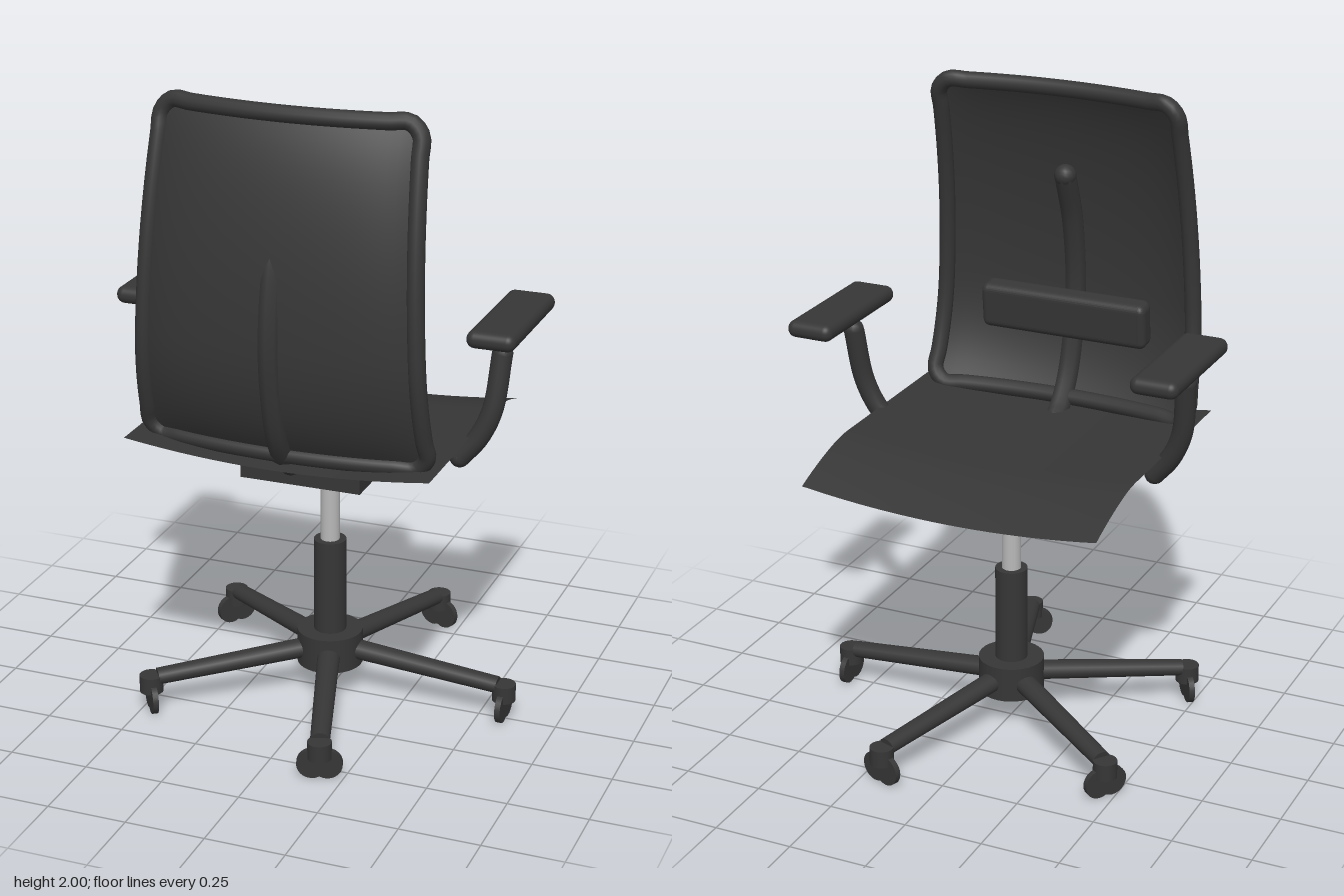
import * as THREE from 'three';
import { RoundedBoxGeometry } from 'three/addons/geometries/RoundedBoxGeometry.js';

const dark = new THREE.MeshStandardMaterial({ color: 0x363636 });
dark.name = 'charcoal';
const sheet = new THREE.MeshStandardMaterial({ color: 0x363636, side: THREE.DoubleSide });
sheet.name = 'charcoalSheet';
const chrome = new THREE.MeshStandardMaterial({ color: 0xb8b8b8 });
chrome.name = 'chrome';

const V = (x, y, z) => new THREE.Vector3(x, y, z);

function add(parent, name, geometry, material = dark, x = 0, y = 0, z = 0) {
  const mesh = new THREE.Mesh(geometry, material);
  mesh.name = name;
  mesh.position.set(x, y, z);
  parent.add(mesh);
  return mesh;
}

// Upright cylinder between two heights
function post(parent, name, r, y0, y1, material = dark, x = 0, z = 0) {
  return add(parent, name, new THREE.CylinderGeometry(r, r, y1 - y0, 32), material, x, (y0 + y1) / 2, z);
}

// Tube through points with rounded ends
function roundedTube(parent, name, points, r, sides = 16) {
  const group = new THREE.Group();
  group.name = name;
  add(group, name + 'Body', new THREE.TubeGeometry(new THREE.CatmullRomCurve3(points), 32, r, sides));
  for (const p of [points[0], points[points.length - 1]]) {
    add(group, name + 'End', new THREE.SphereGeometry(r, 16, 10), dark, p.x, p.y, p.z);
  }
  parent.add(group);
  return group;
}

// Backrest surface rules: half width, side profile and sideways bow
const BOTTOM = 0.958, TOP = 1.975;
const halfWidth = (y) => THREE.MathUtils.mapLinear(y, BOTTOM, TOP, 0.44, 0.393);
const sideZ = (y) => 0.42 - (y > 1.3 ? 0.245 : 0.65) * (y - 1.3) ** 2;
const backPoint = (u, y) => V(u * halfWidth(y), y, sideZ(y) + 0.05 * (1 - u * u));

function buildBackrest(parent) {
  // Frame: closed loop around the back
  const pts = [];
  for (let i = 0; i <= 12; i++) pts.push(backPoint(-0.92 + (1.84 * i) / 12, BOTTOM));
  for (let i = 0; i <= 16; i++) pts.push(backPoint(1, BOTTOM + 0.035 + ((TOP - BOTTOM - 0.07) * i) / 16));
  for (let i = 0; i <= 12; i++) pts.push(backPoint(0.92 - (1.84 * i) / 12, TOP));
  for (let i = 16; i >= 0; i--) pts.push(backPoint(-1, BOTTOM + 0.035 + ((TOP - BOTTOM - 0.07) * i) / 16));
  const loop = new THREE.CatmullRomCurve3(pts, true, 'centripetal');
  add(parent, 'backFrame', new THREE.TubeGeometry(loop, 200, 0.026, 12, true));

  // Panel: dished sheet inside the frame
  const panel = new THREE.PlaneGeometry(2, 2, 28, 32);
  const pos = panel.attributes.position;
  for (let i = 0; i < pos.count; i++) {
    const u = pos.getX(i), v = pos.getY(i);
    const p = backPoint(u, THREE.MathUtils.mapLinear(v, -1, 1, BOTTOM, TOP));
    pos.setXYZ(i, p.x, p.y, p.z + 0.025 * (1 - u ** 6) * (1 - v ** 6));
  }
  panel.computeVertexNormals();
  add(parent, 'backPanel', panel, sheet);

  // Spine passing through the panel
  roundedTube(parent, 'backSpine', [
    V(0, 0.9, 0.325), V(0, 0.94, 0.375), V(0, 1.05, 0.44),
    V(0, 1.3, 0.485), V(0, 1.53, 0.455), V(0, 1.69, 0.395),
  ], 0.035, 8);

  // Lumbar pad bowed along the back
  const pad = new RoundedBoxGeometry(0.56, 0.15, 0.08, 4, 0.025);
  const pp = pad.attributes.position;
  for (let i = 0; i < pp.count; i++) {
    const x = pp.getX(i);
    pp.setZ(i, pp.getZ(i) - 0.3 * x * x);
  }
  pad.computeVertexNormals();
  add(parent, 'lumbarPad', pad, dark, 0, 1.235, 0.43).rotation.x = -0.1;
}

// Thin seat: edges raised, far edge falling away
function buildSeat(parent) {
  const seat = new THREE.PlaneGeometry(0.96, 0.92, 20, 28).rotateX(-Math.PI / 2);
  const pos = seat.attributes.position;
  for (let i = 0; i < pos.count; i++) {
    const x = pos.getX(i), z = pos.getZ(i);
    const drop = Math.max(0, -z - 0.18) / 0.28;
    pos.setY(i, 0.93 + 0.034 * (x / 0.48) ** 2 - 0.072 * drop ** 1.5);
  }
  seat.computeVertexNormals();
  add(parent, 'seat', seat, sheet);
}

function buildArm(parent, side) {
  const arm = new THREE.Group();
  arm.name = side > 0 ? 'leftArm' : 'rightArm';
  roundedTube(arm, 'armSupport', [
    V(side * 0.445, 0.892, 0.075), V(side * 0.5, 0.96, 0.066),
    V(side * 0.538, 1.05, 0.055), V(side * 0.556, 1.22, 0.028),
  ], 0.032);
  add(arm, 'armPad', new RoundedBoxGeometry(0.15, 0.054, 0.44, 5, 0.026), dark, side * 0.56, 1.302, -0.04);
  parent.add(arm);
}

// One leg with its castor, laid along +x
function buildLeg(parent, angle) {
  const leg = new THREE.Group();
  leg.name = 'baseLeg';
  const beam = new THREE.CylinderGeometry(0.03, 0.036, 0.5, 20).rotateZ(-Math.PI / 2).scale(1, 0.85, 1);
  add(leg, 'legBeam', beam, dark, 0.31, 0.133, 0).rotation.z = -0.085;
  post(leg, 'castorHousing', 0.037, 0.065, 0.12, dark, 0.58);
  for (const s of [-1, 1]) {
    const wheel = new THREE.CylinderGeometry(0.047, 0.047, 0.018, 24).rotateZ(Math.PI / 2);
    add(leg, 'castorWheel', wheel, dark, 0.58, 0.047, s * 0.023);
  }
  leg.rotation.y = angle;
  parent.add(leg);
}

export function createModel() {
  const chair = new THREE.Group();
  chair.name = 'officeChair';
  buildBackrest(chair);
  buildSeat(chair);
  for (const side of [-1, 1]) buildArm(chair, side);

  // Mechanism under the seat
  add(chair, 'mechanismBox', new THREE.BoxGeometry(0.385, 0.105, 0.425), dark, 0, 0.853, 0.042);
  post(chair, 'tensionKnob', 0.042, 0.7, 0.81, dark, 0, -0.098);
  const lever = new THREE.CylinderGeometry(0.009, 0.009, 0.25, 12).rotateZ(Math.PI / 2);
  add(chair, 'heightLever', lever, dark, 0.3, 0.854, -0.08);

  // Column and star base
  post(chair, 'gasLift', 0.03, 0.5, 0.81, chrome);
  post(chair, 'columnSleeve', 0.051, 0.2, 0.522);
  post(chair, 'baseHub', 0.104, 0.1, 0.213);
  for (let i = 0; i < 5; i++) buildLeg(chair, (i * Math.PI * 2) / 5);
  return chair;
}
